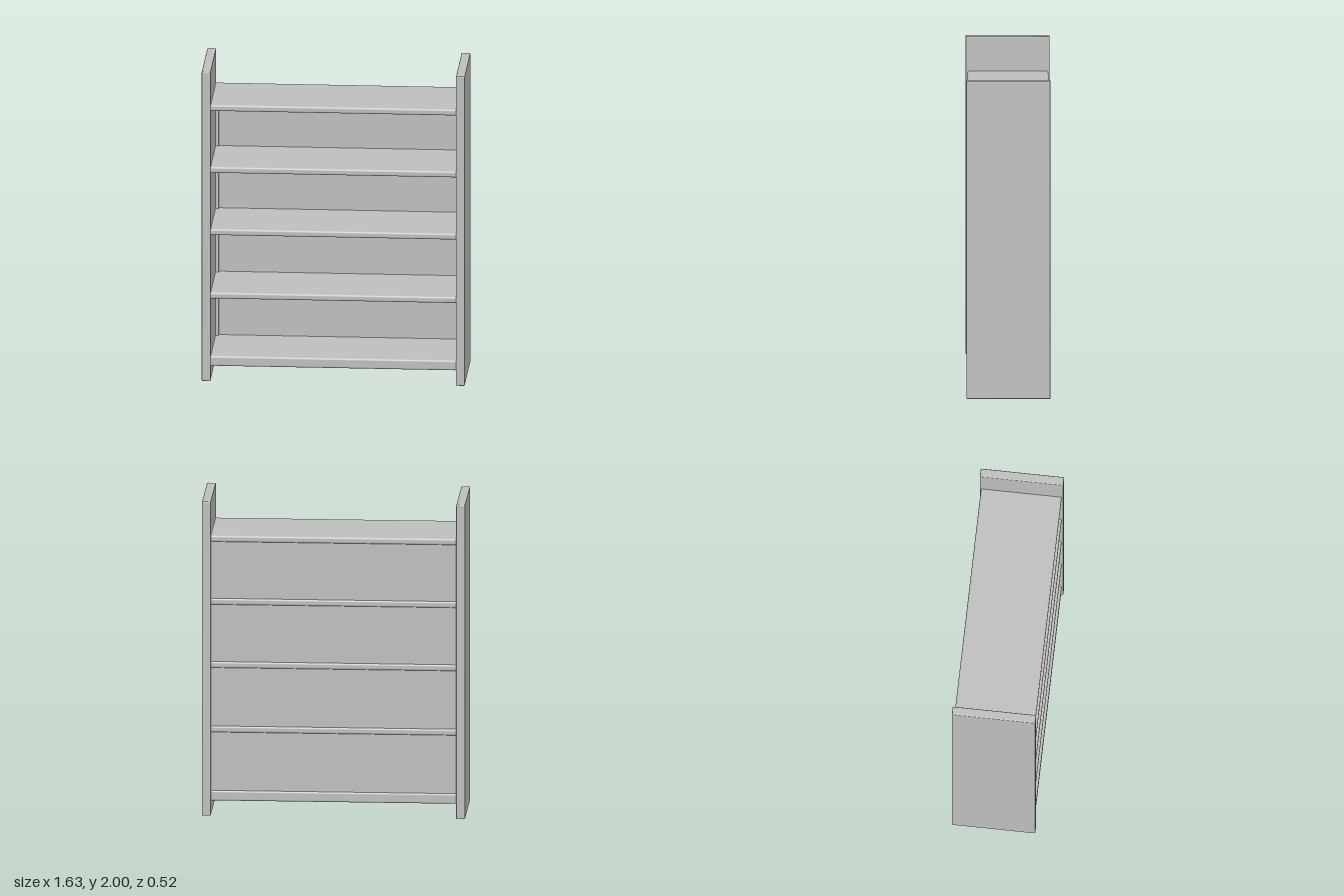
import * as THREE from 'three';
import { RoundedBoxGeometry } from 'three/addons/geometries/RoundedBoxGeometry.js';

export function createModel() {
  const group = new THREE.Group();
  const grey = new THREE.MeshStandardMaterial({ color: 0xbfbfbf });
  grey.name = 'plain grey';

  // board given by its lower and upper corners, with softly rounded edges
  function board(name, [x0, y0, z0], [x1, y1, z1], radius) {
    const geometry = new RoundedBoxGeometry(x1 - x0, y1 - y0, z1 - z0, 2, radius);
    const mesh = new THREE.Mesh(geometry, grey);
    mesh.name = name;
    mesh.position.set((x0 + x1) / 2, (y0 + y1) / 2, (z0 + z1) / 2);
    group.add(mesh);
  }

  // tall side boards, reaching the floor and rising above the top shelf
  board('leftSide', [0.762, 0, -0.26], [0.817, 2, 0.26], 0.006);
  board('rightSide', [-0.817, 0, -0.26], [-0.762, 2, 0.26], 0.006);

  // shelves, with a thicker one at the bottom
  const shelves = [[0.095, 0.16], [0.53, 0.57], [0.94, 0.98], [1.342, 1.382], [1.742, 1.782]];
  shelves.forEach(([bottom, top], i) => {
    board('shelf' + (i + 1), [-0.77, bottom, -0.253], [0.77, top, 0.25], 0.012);
  });

  // back panels and narrow corner cleats between neighbouring shelves
  for (let i = 0; i < shelves.length - 1; i++) {
    const y0 = shelves[i][1] - 0.01;
    const y1 = shelves[i + 1][0] + 0.01;
    board('backPanel' + (i + 1), [-0.77, y0, -0.243], [0.77, y1, -0.222], 0.002);
    board('leftCleat' + (i + 1), [0.742, y0, -0.23], [0.77, y1, -0.205], 0.003);
    board('rightCleat' + (i + 1), [-0.77, y0, -0.23], [-0.742, y1, -0.205], 0.003);
  }

  return group;
}
